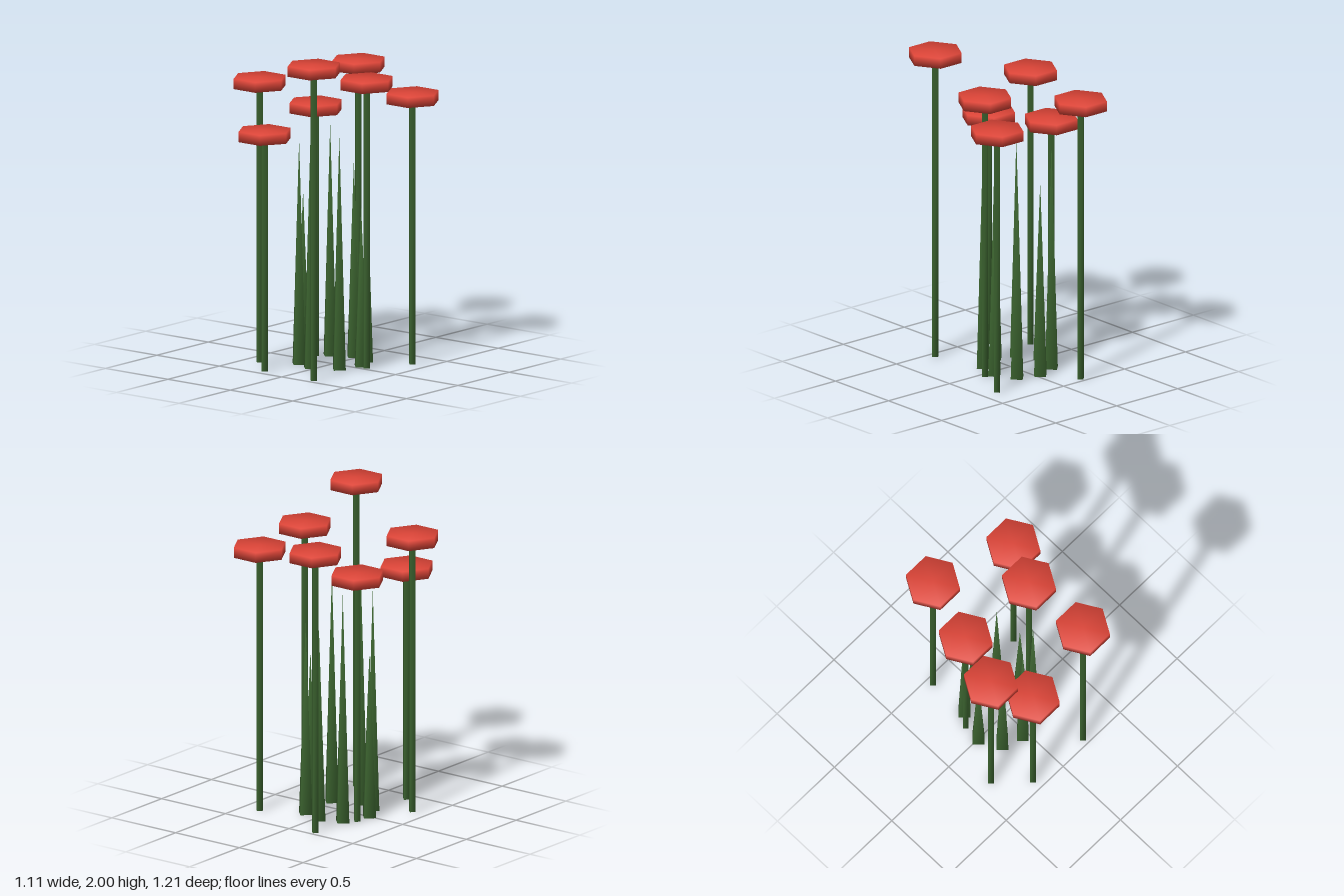
import * as THREE from 'three';
import { mergeVertices } from 'three/addons/utils/BufferGeometryUtils.js';

// Few-sided cylinder with fully shared, smooth normals, standing on y = 0
function softCylinder(rTop, rBottom, height, sides, start = 0) {
  let g = new THREE.CylinderGeometry(rTop, rBottom, height, sides, 1, false, start);
  g.deleteAttribute('normal');
  g.deleteAttribute('uv');
  g = mergeVertices(g);
  g.computeVertexNormals();
  g.translate(0, height / 2, 0);
  return g;
}

export function createModel() {
  const model = new THREE.Group();
  const petalRed = new THREE.MeshStandardMaterial({ color: 0xdb4437 });
  petalRed.name = 'petal red';
  const leafGreen = new THREE.MeshStandardMaterial({ color: 0x3a612e });
  leafGreen.name = 'leaf green';

  const add = (parent, name, geometry, material, y = 0) => {
    const mesh = new THREE.Mesh(geometry, material);
    mesh.name = name;
    mesh.position.y = y;
    parent.add(mesh);
  };

  // Flowers: x, z, height of the top
  const headHeight = 0.065;
  const head = softCylinder(0.172, 0.172, headHeight, 6, Math.PI / 2);
  const flowers = [
    [-0.175, -0.46, 1.83], [0.38, -0.31, 1.72], [-0.235, -0.115, 1.61], [0.24, -0.035, 1.835],
    [-0.382, 0.25, 1.805], [-0.195, 0.43, 1.525], [0.22, 0.455, 2],
  ];
  for (const [x, z, top] of flowers) {
    const flower = new THREE.Group();
    flower.name = 'flower';
    flower.position.set(x, 0, z);
    add(flower, 'stem', softCylinder(0.026, 0.026, top - headHeight + 0.01, 4), leafGreen);
    add(flower, 'flowerHead', head, petalRed, top - headHeight);
    model.add(flower);
  }

  // Ring of pointed leaves: x, z, height
  const leaves = [
    [-0.033, -0.243, 1.25], [0.112, -0.19, 1.25], [0.18, -0.055, 1.01], [0.135, 0.103, 1.48],
    [-0.032, 0.18, 1.48], [-0.163, 0.132, 1.42], [-0.24, 0, 1.07], [-0.175, -0.185, 1.47],
  ];
  for (const [x, z, height] of leaves) {
    const leaf = new THREE.Group();
    leaf.name = 'leaf';
    leaf.position.set(x, 0, z);
    add(leaf, 'leafBlade', softCylinder(0, 0.052, height, 4), leafGreen);
    model.add(leaf);
  }
  return model;
}
